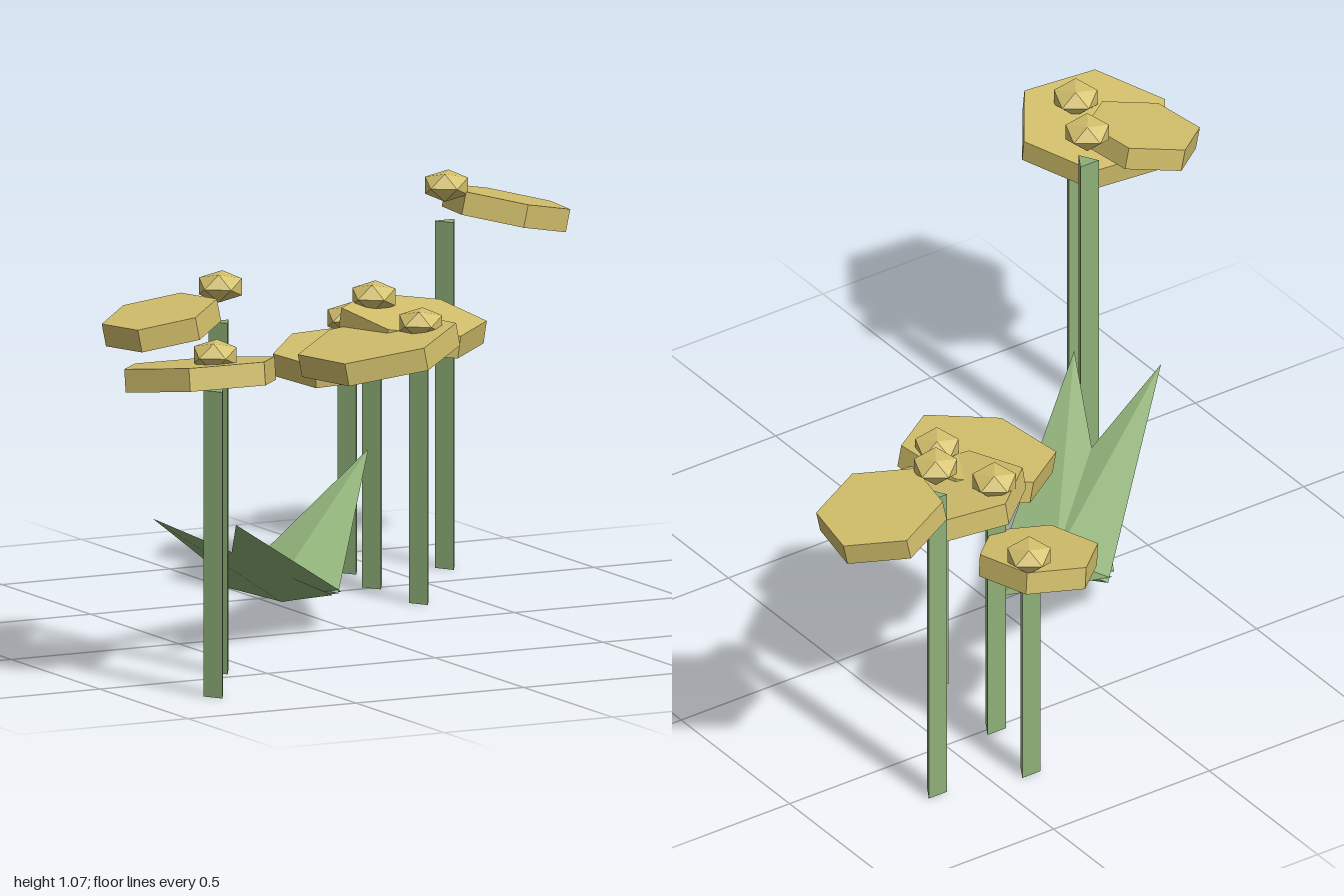
import * as THREE from 'three';

const yellow = new THREE.MeshStandardMaterial({ color: 0xd2bf6b, flatShading: true });
yellow.name = 'petalYellow';
const green = new THREE.MeshStandardMaterial({ color: 0x8fb078, flatShading: true });
green.name = 'stemGreen';

const UP = new THREE.Vector3(0, 1, 0);

function part(name, geometry, material, x, y, z) {
  const mesh = new THREE.Mesh(geometry, material);
  mesh.name = name;
  mesh.position.set(x, y, z);
  return mesh;
}

// stem: [x, top, z]; petal: [x, y, z]; angle turns the hexagon; slopeX and slopeZ tilt it
const FLOWERS = [
  { stem: [-0.78, 0.82, 0.742], petal: [-0.785, 0.85, 0.66], r: 0.215, angle: 5, slopeX: 0, slopeZ: 0.13 },
  { stem: [-0.60, 0.94, 0.43], petal: [-0.779, 0.952, 0.43], r: 0.156, angle: 20, slopeX: 0.21, slopeZ: 0 },
  { stem: [0.35, 0.655, -0.24], petal: [0.24, 0.682, -0.273], r: 0.213, angle: 22, slopeX: 0.2, slopeZ: 0 },
  { stem: [0.35, 0.685, -0.505], petal: [0.42, 0.708, -0.425], r: 0.196, angle: 18, slopeX: -0.08, slopeZ: -0.15 },
  { stem: [0.395, 0.587, -0.73], petal: [0.312, 0.596, -0.66], r: 0.165, angle: 16, slopeX: 0.13, slopeZ: -0.1 },
  { stem: [0.655, 0.93, -0.672], petal: [0.842, 0.945, -0.697], r: 0.17, angle: 40, slopeX: -0.22, slopeZ: 0 },
];

function makeFlower({ stem, petal, r, angle, slopeX, slopeZ }) {
  const flower = new THREE.Group();
  flower.name = 'flower';
  const [x, top, z] = stem;

  // three-sided stem
  flower.add(part('stem', new THREE.CylinderGeometry(0.034, 0.034, top, 3), green, x, top / 2, z));

  // tilted hexagonal petal
  const start = THREE.MathUtils.degToRad(90 - angle);
  const disc = part('petal', new THREE.CylinderGeometry(r, r, 0.062, 6, 1, false, start), yellow, ...petal);
  disc.quaternion.setFromUnitVectors(UP, new THREE.Vector3(-slopeX, 1, -slopeZ).normalize());
  flower.add(disc);

  // flattened bud above the stem
  const bud = part('bud', new THREE.IcosahedronGeometry(0.067, 0), yellow, x, top + 0.093, z - 0.006);
  bud.scale.y = 0.65;
  bud.rotation.y = THREE.MathUtils.degToRad(55);
  flower.add(bud);
  return flower;
}

// flattened four-sided spike from the shared root to its tip
const ROOT = new THREE.Vector3(-0.142, 0.102, -0.087);
function makeLeaf(tip) {
  const axis = new THREE.Vector3(...tip).sub(ROOT);
  const length = axis.length();
  axis.normalize();
  const side = new THREE.Vector3().crossVectors(axis, UP).normalize();
  const thick = new THREE.Vector3().crossVectors(side, axis);
  const geometry = new THREE.ConeGeometry(0.155, length, 4);
  geometry.translate(0, length / 2, 0);
  geometry.scale(1, 1, 0.22);
  geometry.applyMatrix4(new THREE.Matrix4().makeBasis(side, axis, thick));
  return part('leaf', geometry, green, ROOT.x, ROOT.y, ROOT.z);
}

export function createModel() {
  const model = new THREE.Group();
  model.name = 'flowerPatch';
  FLOWERS.forEach((f) => model.add(makeFlower(f)));
  [[-0.69, 0.385, 0.213], [-0.54, 0.385, 0.398], [0.312, 0.38, -0.47]].forEach((t) => model.add(makeLeaf(t)));
  return model;
}
